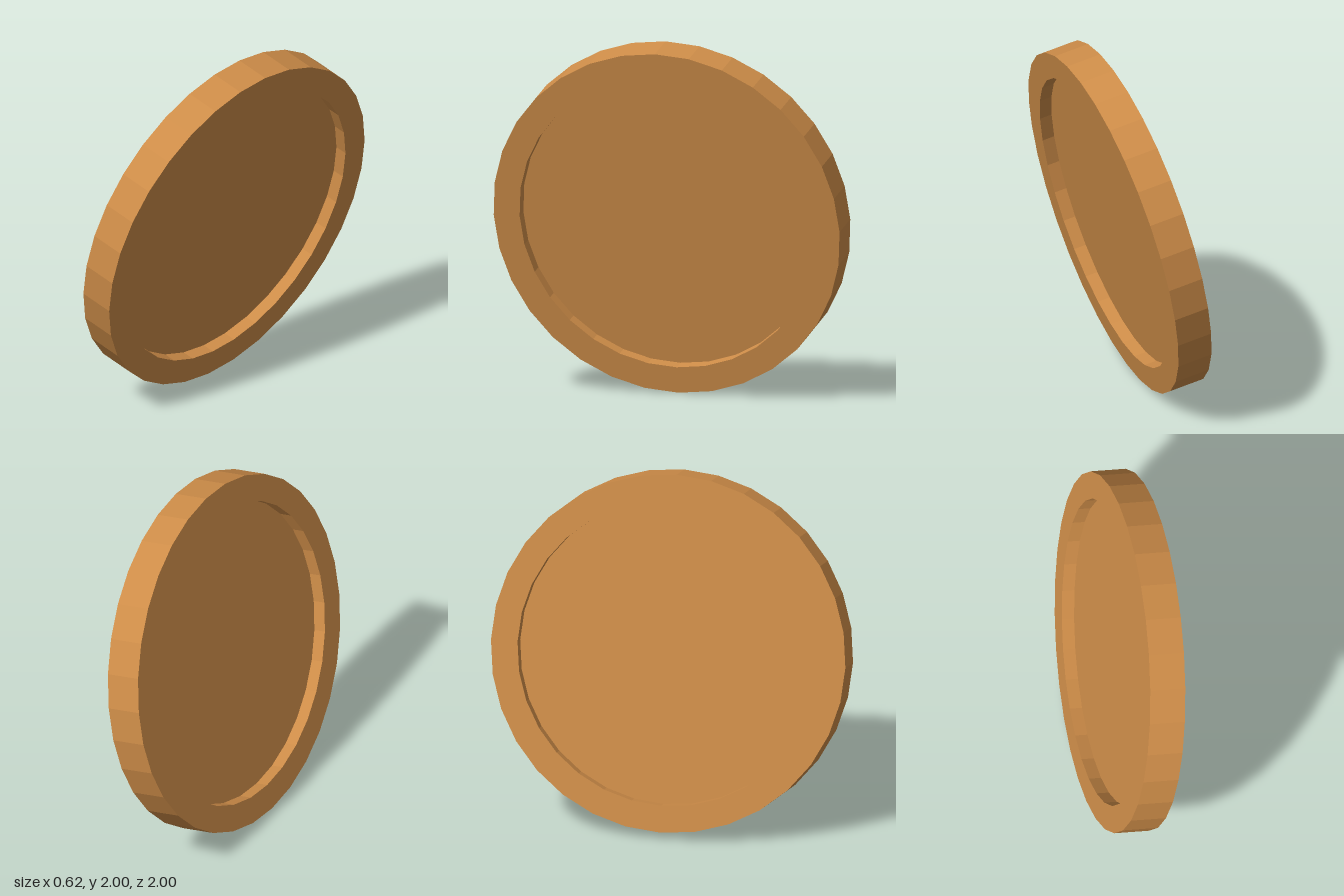
import * as THREE from 'three';

const SIDES = 32, OUTER = 1, INNER = 0.85, HALF = 0.1, FLOOR = 0.03;
const TILT = THREE.MathUtils.degToRad(12.4);

export function createModel() {
  const model = new THREE.Group();
  const material = new THREE.MeshStandardMaterial({ color: 0xcd8c48, flatShading: true });

  // Coin is built lying flat on the y axis, then stood up and leaned over
  const coin = new THREE.Group();
  coin.name = 'coin';

  // Raised rim with the recess walls of both faces
  const profile = [
    [INNER, -FLOOR], [INNER, -HALF], [OUTER, -HALF],
    [OUTER, HALF], [INNER, HALF], [INNER, FLOOR],
  ].map(([r, y]) => new THREE.Vector2(r, y));
  const rim = new THREE.Mesh(new THREE.LatheGeometry(profile, SIDES), material);
  rim.name = 'rim';
  coin.add(rim);

  // Sunken face on each side
  for (const side of [1, -1]) {
    const face = new THREE.Mesh(new THREE.CircleGeometry(INNER, SIDES), material);
    face.name = side > 0 ? 'leftFace' : 'rightFace';
    face.rotation.x = -side * Math.PI / 2;
    face.position.y = side * FLOOR;
    coin.add(face);
  }

  coin.rotation.z = -(Math.PI / 2 + TILT);
  coin.position.y = OUTER * Math.cos(TILT) + HALF * Math.sin(TILT);
  model.add(coin);
  return model;
}
